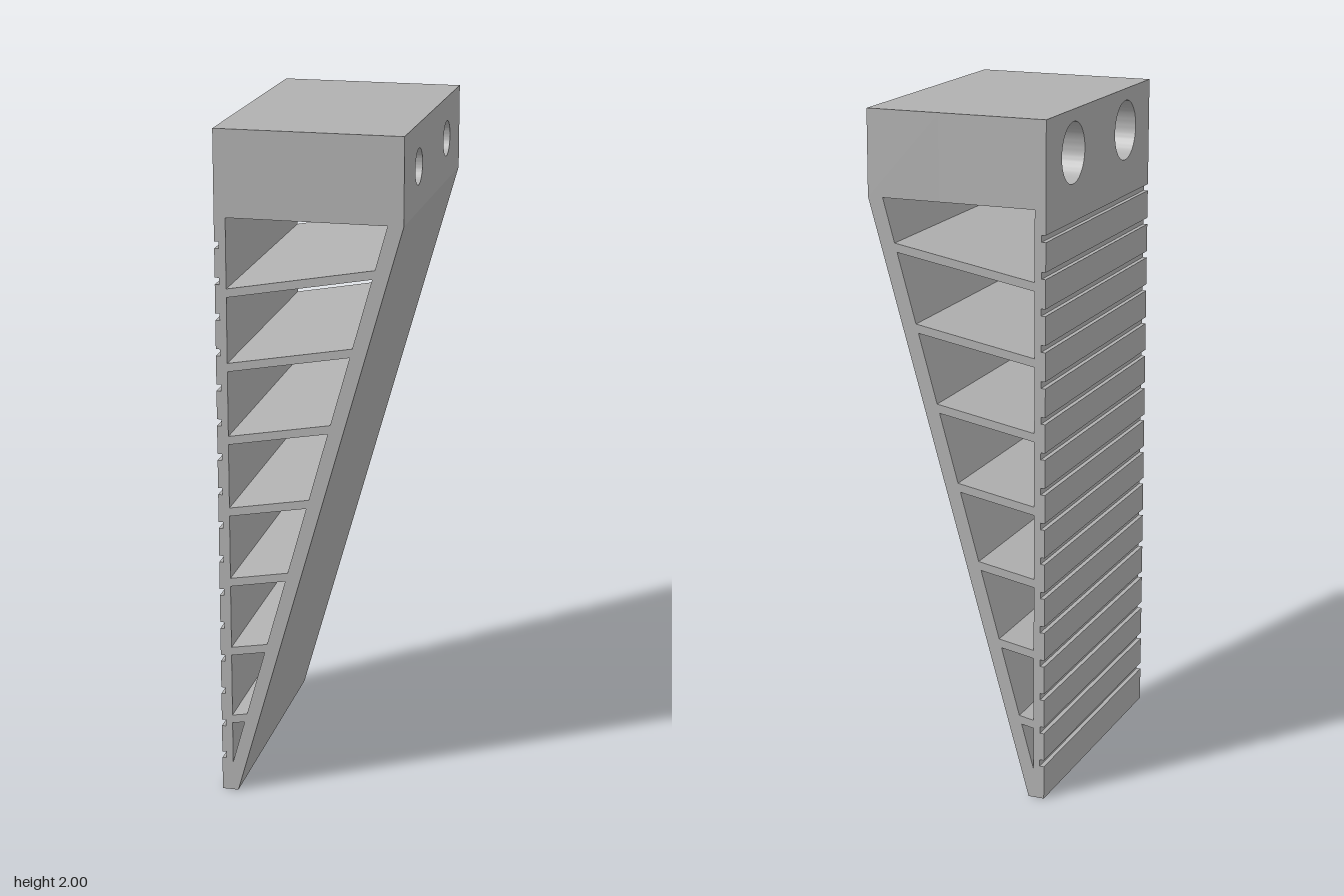
import * as THREE from 'three';
import { toCreasedNormals } from 'three/addons/utils/BufferGeometryUtils.js';

const HALF_W = 0.27, HALF_D = 0.415, HEIGHT = 2, BLOCK_Y = 1.75;
const WALL_X = -0.237;              // inside face of the upright wall
const CELL_Y = 0.09, LEAN = 0.278;  // foot and slope of the leaning wall's inside face
const RIBS = 7, RIB_PITCH = 0.2173, RIB_T = 0.025, RIB_SLOPE = 0.18;

// Where a rib edge starting at height y on the upright wall meets the leaning wall
function ribEnd(y) {
  const u = LEAN * (y - CELL_Y) / (1 - LEAN * RIB_SLOPE);
  return [WALL_X + u, y + RIB_SLOPE * u];
}

const toPoints = (list) => list.map(([x, y]) => new THREE.Vector2(x, y));

// Wedge profile: grooved upright wall, leaning wall and slanting ribs
function wedgeGeometry() {
  const topRib = RIBS * RIB_PITCH + RIB_T;
  const outline = [
    [-HALF_W, 0], [-0.222, 0], [HALF_W, BLOCK_Y],
    [WALL_X + LEAN * (BLOCK_Y - CELL_Y), BLOCK_Y],
    ribEnd(topRib), [WALL_X, topRib], [WALL_X, BLOCK_Y], [-HALF_W, BLOCK_Y],
  ];
  // Grip grooves, from the top down
  for (let i = 15; i >= 0; i--) {
    const y = 0.111 + i * 0.104, h = 0.01, x = -HALF_W + 0.013;
    outline.push([-HALF_W, y + h], [x, y + h], [x, y - h], [-HALF_W, y - h]);
  }
  const shape = new THREE.Shape(toPoints(outline));

  // Open cells below each rib
  for (let i = 1; i <= RIBS; i++) {
    const top = i * RIB_PITCH, bottom = (i - 1) * RIB_PITCH + RIB_T;
    const cell = i === 1
      ? [[WALL_X, CELL_Y], ribEnd(top), [WALL_X, top]]
      : [[WALL_X, bottom], ribEnd(bottom), ribEnd(top), [WALL_X, top]];
    shape.holes.push(new THREE.Path(toPoints(cell)));
  }
  const geo = new THREE.ExtrudeGeometry(shape, { depth: 2 * HALF_D, bevelEnabled: false });
  return geo.translate(0, 0, -HALF_D);
}

// Slab of the head block from x0 to x1, pierced by two round holes
function slabGeometry(x0, x1, radius) {
  const shape = new THREE.Shape(toPoints([
    [-HALF_D, BLOCK_Y], [HALF_D, BLOCK_Y], [HALF_D, HEIGHT], [-HALF_D, HEIGHT],
  ]));
  for (const z of [-0.21, 0.21]) {
    const hole = new THREE.Path();
    hole.absarc(z, 1.877, radius, 0, Math.PI * 2, true);
    shape.holes.push(hole);
  }
  const geo = new THREE.ExtrudeGeometry(shape, {
    depth: x1 - x0, bevelEnabled: false, curveSegments: 40,
  });
  geo.rotateY(Math.PI / 2).translate(x0, 0, 0);
  return toCreasedNormals(geo, 0.5);
}

export function createModel() {
  const grey = new THREE.MeshStandardMaterial({ color: 0xb0b0b0 });
  grey.name = 'grey';
  const model = new THREE.Group();
  model.name = 'ribbedWedge';

  const add = (name, geometry) => {
    const mesh = new THREE.Mesh(geometry, grey);
    mesh.name = name;
    model.add(mesh);
  };
  add('ribbedBody', wedgeGeometry());
  // Wide bores on the grooved side, narrow screw holes on the other
  add('headBlockWideBores', slabGeometry(-HALF_W, 0.05, 0.088));
  add('headBlockScrewHoles', slabGeometry(0.05, HALF_W, 0.052));
  return model;
}
